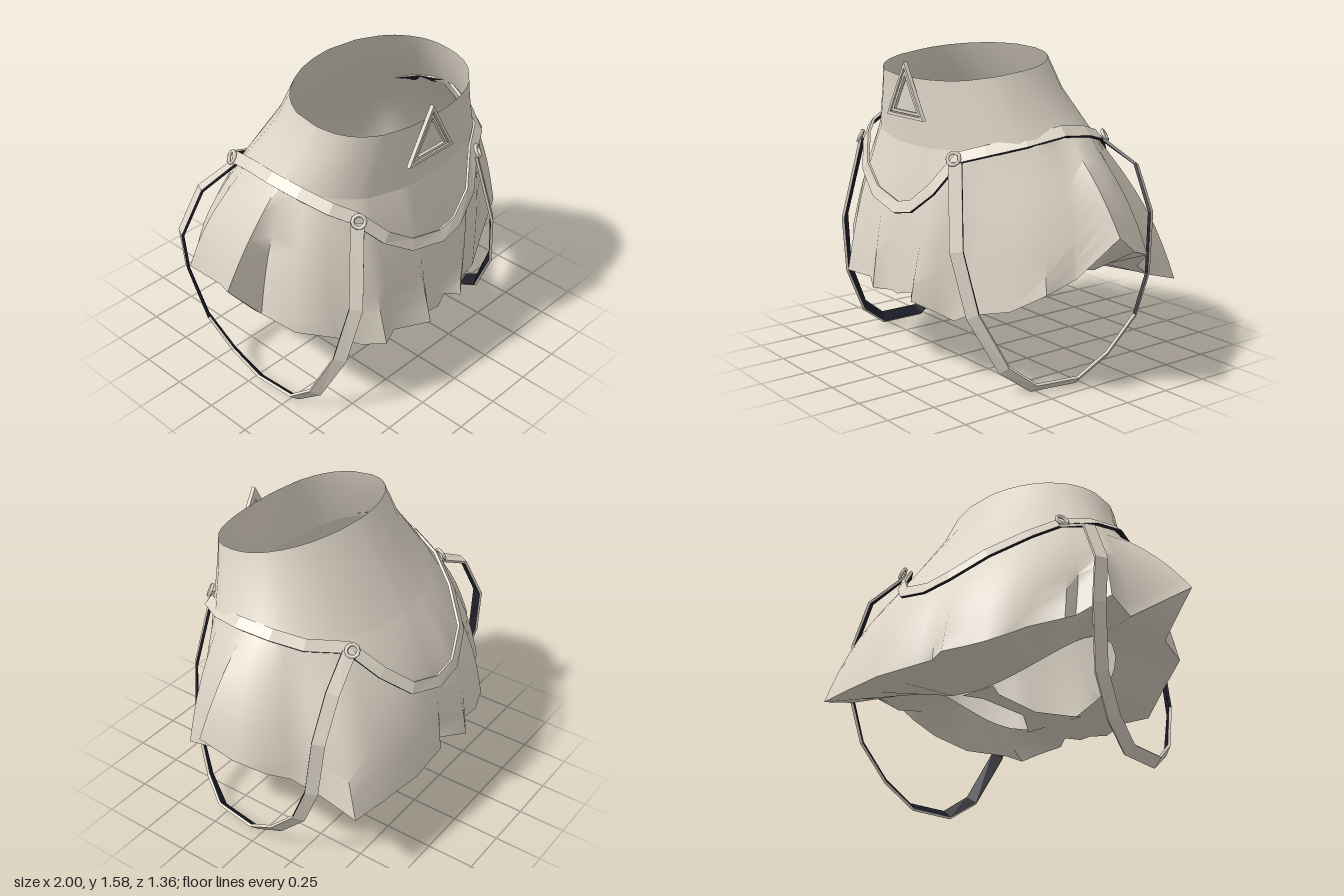
import * as THREE from 'three';
import { toCreasedNormals } from 'three/addons/utils/BufferGeometryUtils.js';

const V = (p) => new THREE.Vector3(...p);

// Skin a grid of rows of points; rows may close into rings.
function loft(rows, closed) {
  const n = rows[0].length, pos = rows.flat().flatMap((p) => [p.x, p.y, p.z]), idx = [];
  for (let r = 0; r < rows.length - 1; r++) {
    for (let i = 0; i < (closed ? n : n - 1); i++) {
      const a = r * n + i, b = r * n + (i + 1) % n;
      idx.push(a, a + n, b, b, a + n, b + n);
    }
  }
  const g = new THREE.BufferGeometry();
  g.setAttribute('position', new THREE.Float32BufferAttribute(pos, 3));
  g.setIndex(idx);
  return toCreasedNormals(g, 1.1);
}

// Flat strap along a path, its face turned away from a centre point.
// Group 0 is the fabric, group 1 the lining, which also edges the upper stretches.
function strapGeometry(points, closed, centre, width) {
  const curve = new THREE.CatmullRomCurve3(points.map(V), closed, 'centripetal');
  const count = closed ? points.length : points.length - 1, sections = [];
  for (let i = 0; i <= count; i++) {
    const p = curve.getPoint(i / count), t = curve.getTangent(i / count);
    const n = p.clone().sub(centre);
    n.addScaledVector(t, -n.dot(t)).normalize();
    const b = n.clone().cross(t);
    sections.push([[-1, 1], [1, 1], [1, -1], [-1, -1]].map(([w, d]) =>
      p.clone().addScaledVector(b, w * width / 2).addScaledVector(n, d * 0.007)));
  }
  const bright = [], dark = [];
  for (let k = 0; k < 4; k++) {
    for (let i = 0; i < count; i++) {
      const a = sections[i], c = sections[i + 1], m = (k + 1) % 4;
      const lined = k === 2 || (k === 3 && a[k].y + c[k].y > 0.8);
      for (const p of [a[k], c[k], c[m], a[k], c[m], a[m]]) (lined ? dark : bright).push(p.x, p.y, p.z);
    }
  }
  const g = new THREE.BufferGeometry();
  g.setAttribute('position', new THREE.Float32BufferAttribute([...bright, ...dark], 3));
  g.addGroup(0, bright.length / 3, 0);
  g.addGroup(bright.length / 3, dark.length / 3, 1);
  g.computeVertexNormals();
  return g;
}

// Triangular frame with a triangular hole.
function triangleFrame(outer, inner, depth) {
  const corners = (r) => [0, 1, 2].map((i) => {
    const a = Math.PI / 2 + i * Math.PI * 2 / 3;
    return new THREE.Vector2(r * Math.cos(a), r * Math.sin(a));
  });
  const shape = new THREE.Shape(corners(outer));
  shape.holes.push(new THREE.Path(corners(inner).reverse()));
  return new THREE.ExtrudeGeometry(shape, { depth, bevelEnabled: false });
}

// Wavy hem, from the front round past the left side
const hem = [
  [0, .40, .62], [.08, .42, .59], [.15, .40, .64], [.24, .36, .57], [.30, .31, .49], [.42, .37, .50],
  [.62, .42, .40], [.80, .53, .33], [.81, .58, .16], [1, .80, .07], [.94, .70, -.08], [.88, .65, -.22],
  [.76, .56, -.27], [.70, .48, -.40], [.69, .42, -.60], [.5, .42, -.63], [.25, .42, -.66], [0, .42, -.64],
  [-.05, .44, -.60], [-.18, .42, -.68], [-.27, .44, -.62], [-.38, .43, -.62], [-.5, .45, -.58],
  [-.54, .5, -.5], [-.70, .52, -.43], [-.68, .58, -.32], [-.85, .65, -.27], [-.82, .62, -.08],
  [-1, .82, .19], [-.82, .6, .21], [-.78, .57, .4], [-.62, .5, .5], [-.5, .42, .56], [-.42, .43, .65],
  [-.30, .41, .59], [-.13, .41, .68], [-.07, .40, .61],
].map(V);
const hemAngles = hem.map((p) => Math.atan2(p.x, p.z - 0.06));

// Oval ring, squarer towards the front
function ring(rx, front, back, height) {
  return hemAngles.map((a) => {
    const s = Math.sin(a), c = Math.cos(a), p = c > 0 ? 0.8 : 1;
    return new THREE.Vector3(
      rx * Math.sign(s) * Math.abs(s) ** p, height(c),
      (front + back) / 2 + (front - back) / 2 * Math.sign(c) * Math.abs(c) ** p);
  });
}

export function createModel() {
  const model = new THREE.Group();
  const fabric = new THREE.MeshStandardMaterial({ color: 0xe0d7c9, side: THREE.DoubleSide });
  fabric.name = 'beige fabric';
  const lining = new THREE.MeshStandardMaterial({ color: 0x1f1f2b });
  lining.name = 'dark lining';
  const add = (name, geometry, material = fabric) => {
    const mesh = new THREE.Mesh(geometry, material);
    mesh.name = name;
    model.add(mesh);
    return mesh;
  };

  // High waistband
  const hip = ring(0.63, 0.51, -0.38, (c) => 1.22 - 0.09 * c * c);
  add('waistband', loft([
    ring(0.495, 0.52, -0.13, (c) => 1.52 - 0.06 * c),
    ring(0.535, 0.515, -0.21, (c) => 1.39 - 0.02 * c),
    hip,
  ], true));

  // Flared ruffle, growing from the hip oval into the wavy hem
  const rows = [];
  for (let r = 0; r <= 8; r++) {
    const t = r / 8;
    rows.push(hem.map((h, i) => {
      const a = hemAngles[i], s = Math.sin(a);
      const bulge = Math.sin(Math.PI * t) * (0.015 + 0.015 * s * s + 0.045 * Math.max(0, -Math.cos(a)));
      return hip[i].clone().lerp(h, t).add(new THREE.Vector3(s * bulge, 0, Math.cos(a) * bulge));
    }));
  }
  add('ruffledSkirt', loft(rows, true));

  // Underside, tucked down and in from the hem to the leg openings
  const opening = ring(0.55, 0.39, -0.22, (c) => 0.65 - 0.23 * c * c);
  const tuck = hem.map((h, i) => {
    const p = h.clone().lerp(opening[i], 0.35);
    p.y = Math.min(p.y, 0.62);
    return p;
  });
  add('skirtUnderside', loft([hem, tuck, opening], true));

  // Strip between the leg openings, flaring at both ends: depth, half width
  add('crotchStrip', loft([
    [.39, .18], [.34, .14], [.18, .04], [-.12, .05], [-.22, .1],
  ].map(([z, half]) => [-half, 0, half].map((x) => new THREE.Vector3(x, 0.42, z))), false));

  // Draped belt, dipping at the front and back
  const belt = [
    [-.47, 1.11, .49], [-.35, .98, .57], [-.2, .88, .605], [0, .835, .615], [.12, .86, .61],
    [.25, .96, .58], [.36, 1.12, .50], [.48, 1.16, .43], [.58, 1.20, .28], [.64, 1.24, .11],
    [.61, 1.22, -.06], [.54, 1.18, -.2], [.39, 1.14, -.34], [.3, 1, -.47], [.18, .88, -.57],
    [0, .83, -.605], [-.15, .85, -.6], [-.32, .94, -.53], [-.46, 1.06, -.38], [-.55, 1.16, -.23],
    [-.61, 1.22, -.05], [-.64, 1.24, .11], [-.61, 1.21, .27], [-.55, 1.16, .41],
  ];
  add('drapedBelt', strapGeometry(belt, true, new THREE.Vector3(0, 0.6, 0.05), 0.06), [fabric, lining]);

  // Hanging thigh straps
  const leftStrap = [
    [.39, 1.13, -.35], [.6, 1.02, -.40], [.71, .8, -.40], [.73, .5, -.37], [.73, .3, -.29],
    [.71, .13, -.13], [.68, .025, .04], [.65, .03, .28], [.59, .13, .41], [.52, .4, .54],
    [.45, .7, .58], [.36, 1.1, .52],
  ];
  const rightStrap = [
    [-.48, 1.1, .51], [-.56, .68, .58], [-.62, .38, .53], [-.67, .13, .41], [-.69, .03, .28],
    [-.70, .025, .04], [-.73, .13, -.12], [-.77, .3, -.26], [-.82, .6, -.33], [-.84, .82, -.33],
    [-.74, 1.05, -.28], [-.55, 1.14, -.23],
  ];
  const centre = new THREE.Vector3(0, 0.75, 0.1);
  add('leftThighStrap', strapGeometry(leftStrap, false, centre, 0.065), [fabric, lining]);
  add('rightThighStrap', strapGeometry(rightStrap, false, centre, 0.065), [fabric, lining]);

  // Rings joining belt and straps
  for (const p of [[-.48, 1.11, .52], [.36, 1.12, .53], [.40, 1.14, -.37], [-.56, 1.16, -.25]]) {
    const link = add('strapRing', new THREE.TorusGeometry(0.03, 0.009, 6, 10));
    link.position.set(...p);
    link.lookAt(p[0] * 2, p[1] + 0.3, p[2] * 2);
  }

  // Triangular buckle on the front
  for (const [outer, inner, depth] of [[0.18, 0.15, 0.02], [0.14, 0.114, 0.016]]) {
    add('triangleBuckle', triangleFrame(outer, inner, depth)).position.set(-0.018, 1.355, 0.53);
  }
  add('buckleBacking', triangleFrame(0.152, 0.138, 0.006)).position.set(-0.018, 1.355, 0.53);
  return model;
}
